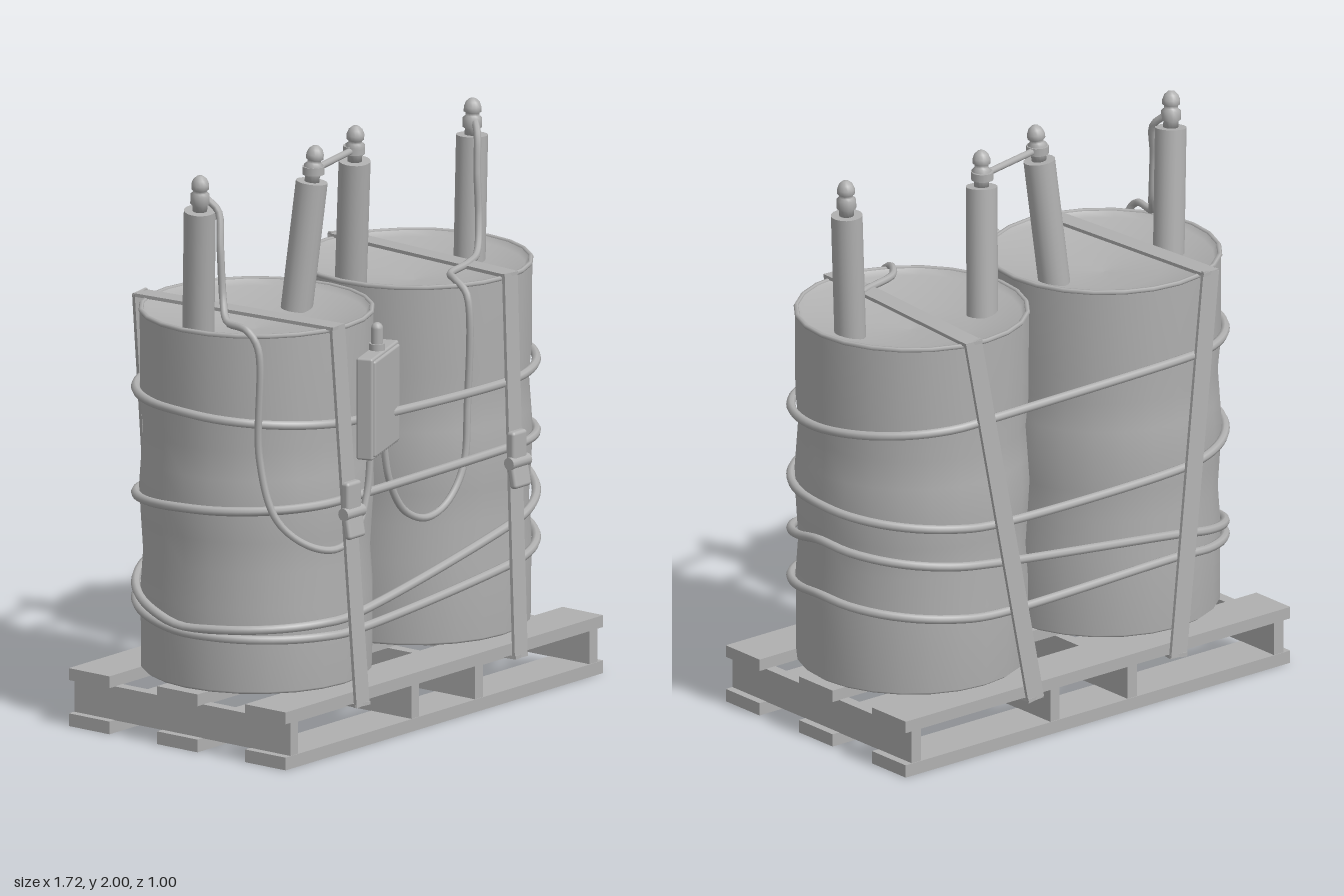
import * as THREE from 'three';
import { RoundedBoxGeometry } from 'three/addons/geometries/RoundedBoxGeometry.js';

const V = (x, y, z) => new THREE.Vector3(x, y, z);

export function createModel() {
  const grey = new THREE.MeshStandardMaterial({ color: 0xb0b0b0 });
  grey.name = 'plain grey';
  const model = new THREE.Group();
  model.name = 'barrelPallet';

  const add = (name, geo, x = 0, y = 0, z = 0, parent = model) => {
    const mesh = new THREE.Mesh(geo, grey);
    mesh.name = name;
    mesh.position.set(x, y, z);
    parent.add(mesh);
    return mesh;
  };
  const lathe = (pts, seg) => new THREE.LatheGeometry(pts.map(p => new THREE.Vector2(...p)), seg);
  // Round bar between two points
  const rod = (name, a, b, r, seg = 14) => {
    const mid = a.clone().lerp(b, 0.5);
    const mesh = add(name, new THREE.CylinderGeometry(r, r, a.distanceTo(b), seg), mid.x, mid.y, mid.z);
    mesh.quaternion.setFromUnitVectors(V(0, 1, 0), b.clone().sub(a).normalize());
    return mesh;
  };
  // Flat band between two points, its width kept close to the x axis
  const band = (name, a, b, width, thick) => {
    const dir = b.clone().sub(a).normalize();
    const side = V(1, 0, 0).addScaledVector(dir, -dir.x).normalize();
    const mid = a.clone().lerp(b, 0.5);
    const mesh = add(name, new THREE.BoxGeometry(width, a.distanceTo(b) + thick, thick), mid.x, mid.y, mid.z);
    mesh.quaternion.setFromRotationMatrix(new THREE.Matrix4().makeBasis(side, dir, side.clone().cross(dir)));
  };
  const cable = (name, pts, r, seg, closed = false) => add(name, new THREE.TubeGeometry(
    new THREE.CatmullRomCurve3(pts, closed, 'centripetal'), seg, r, 8, closed));

  // Pallet: three boards above and below four stringers
  for (const z of [-0.39, 0, 0.39]) {
    add('topBoard', new THREE.BoxGeometry(1.72, 0.042, 0.18), 0, 0.184, z);
    add('bottomBoard', new THREE.BoxGeometry(1.72, 0.045, 0.18), 0, 0.0225, z);
  }
  for (const x of [-0.81, -0.155, 0.19, 0.81])
    add('stringer', new THREE.BoxGeometry(0.042, 0.12, 0.955), x, 0.104, 0);

  // Barrels: softly waisted walls, thin rims and dished lids
  const wall = [[0, 0.205], [0.385, 0.205], [0.398, 0.215], [0.4, 0.5], [0.391, 0.63], [0.398, 0.74],
    [0.405, 0.86], [0.398, 0.96], [0.391, 1.06], [0.401, 1.16], [0.403, 1.475]];
  const lid = [[0.403, 1.475], [0.388, 1.476], [0.378, 1.455], [0.2, 1.415], [0, 1.4]];
  for (const x of [-0.43, 0.43]) {
    add('barrelWall', lathe(wall, 24), x);
    add('barrelLid', lathe(lid, 24), x);
    const rim = add('barrelRim', new THREE.TorusGeometry(0.398, 0.009, 6, 24), x, 1.474);
    rim.rotation.x = Math.PI / 2;
  }

  // Leaning posts with terminal knobs: lower and upper ends
  const knob = [[0, 0], [0.026, 0], [0.026, 0.025], [0.034, 0.03], [0.034, 0.062], [0.024, 0.07], [0.024, 0.08],
    [0.031, 0.084], [0.031, 0.1], [0.024, 0.118], [0.012, 0.129], [0, 0.131]];
  const posts = [
    [V(-0.66, 1.42, -0.07), V(-0.707, 1.87, -0.025)],
    [V(-0.195, 1.42, -0.015), V(-0.158, 1.87, 0.022)],
    [V(0.19, 1.42, -0.09), V(0.156, 1.87, -0.045)],
    [V(0.668, 1.42, 0.045), V(0.688, 1.87, 0.04)],
  ];
  for (const [low, high] of posts) {
    const post = rod('post', low, high, 0.055, 18);
    const top = add('terminalKnob', lathe(knob, 14), high.x, high.y - 0.003, high.z);
    top.quaternion.copy(post.quaternion);
  }

  // Link bar joining the two inner terminals
  rod('linkBar', V(-0.155, 1.91, 0.025), V(0.155, 1.91, -0.045), 0.012);
  for (const [x, z] of [[-0.153, 0.025], [0.153, -0.045]])
    add('linkCollar', new THREE.CylinderGeometry(0.039, 0.039, 0.028, 14), x, 1.91, z);

  // Ropes around both barrels; heights at right-back, right, right-front, left-front, left, left-back
  const ropes = [
    [1.19, 1.14, 1.11, 1.14, 1.19, 1.2],
    [0.8, 0.86, 0.875, 0.87, 0.85, 0.8],
    [0.66, 0.73, 0.6, 0.45, 0.43, 0.56],
    [0.47, 0.53, 0.46, 0.395, 0.41, 0.48],
  ];
  for (const h of ropes) {
    const pts = [];
    for (const [k, cx, start] of [[0, 0.43, -Math.PI / 2], [3, -0.43, Math.PI / 2]]) {
      for (let i = 0; i <= 10; i++) {
        const t = i / 5, j = Math.min(Math.floor(t), 1), a = start + i * Math.PI / 10;
        const f = t - j;
        const y = h[k + j] + (h[k + j + 1] - h[k + j]) * f;
        pts.push(V(cx + 0.415 * Math.cos(a), y, 0.415 * Math.sin(a)));
      }
    }
    cable('rope', pts, 0.016, 110, true);
  }

  // Lashing straps: front top, front bottom, back bottom, back top
  const straps = [
    [V(-0.495, 1.485, 0.41), V(-0.46, 0.156, 0.49), V(-0.35, 0.156, -0.49), V(-0.56, 1.485, -0.41)],
    [V(0.44, 1.485, 0.41), V(0.397, 0.156, 0.49), V(0.29, 0.156, -0.49), V(0.5, 1.485, -0.41)],
  ];
  for (const s of straps) {
    s.forEach((p, i) => band('strap', p, s[(i + 1) % 4], 0.07, 0.012));
    // Ratchet buckle on the front run
    const at = s[0].clone().lerp(s[1], 0.48);
    add('buckleBody', new RoundedBoxGeometry(0.078, 0.13, 0.035, 2, 0.012), at.x, 0.88, at.z + 0.01);
    const handle = add('buckleHandle', new RoundedBoxGeometry(0.09, 0.11, 0.03, 2, 0.012), at.x, 0.8, at.z + 0.018);
    handle.rotation.x = -0.2;
    const drum = add('buckleDrum', new THREE.CylinderGeometry(0.022, 0.022, 0.1, 12), at.x, 0.835, at.z + 0.015);
    drum.rotation.z = Math.PI / 2;
  }

  // Control box with a toggle on top
  const box = new THREE.Group();
  box.name = 'controlBox';
  box.position.set(-0.295, 1.19, 0.425);
  box.rotation.y = 0.36;
  model.add(box);
  add('boxBody', new RoundedBoxGeometry(0.285, 0.36, 0.06, 2, 0.008), 0, 0, 0, box);
  add('boxLid', new RoundedBoxGeometry(0.265, 0.34, 0.02, 2, 0.008), 0, 0, 0.028, box);
  add('toggleBase', new THREE.CylinderGeometry(0.028, 0.028, 0.025, 12), -0.005, 0.19, 0, box);
  add('toggle', new THREE.CapsuleGeometry(0.021, 0.05, 4, 12), -0.005, 0.23, 0, box);

  // Wires from the outer terminals, hanging down the front and into the box
  cable('leftWire', [
    V(-0.69, 1.91, -0.01), V(-0.675, 1.87, 0.03), V(-0.7, 1.75, 0.06), V(-0.715, 1.57, 0.085),
    V(-0.75, 1.51, 0.13), V(-0.775, 1.5, 0.24), V(-0.765, 1.44, 0.28), V(-0.757, 1.05, 0.28),
    V(-0.73, 0.84, 0.33), V(-0.64, 0.74, 0.39), V(-0.53, 0.71, 0.435), V(-0.43, 0.76, 0.445),
    V(-0.37, 0.88, 0.44), V(-0.35, 1.03, 0.44),
  ], 0.013, 90);
  cable('rightWire', [
    V(0.688, 1.93, 0.05), V(0.655, 1.89, 0.09), V(0.63, 1.76, 0.11), V(0.62, 1.6, 0.125),
    V(0.57, 1.5, 0.16), V(0.45, 1.49, 0.215), V(0.3, 1.49, 0.26), V(0.245, 1.49, 0.33),
    V(0.232, 1.45, 0.39), V(0.228, 1.05, 0.395), V(0.2, 0.85, 0.4), V(0.11, 0.74, 0.4),
    V(0, 0.71, 0.4), V(-0.12, 0.76, 0.4), V(-0.205, 0.88, 0.405), V(-0.24, 1.03, 0.405),
  ], 0.013, 100);

  return model;
}
